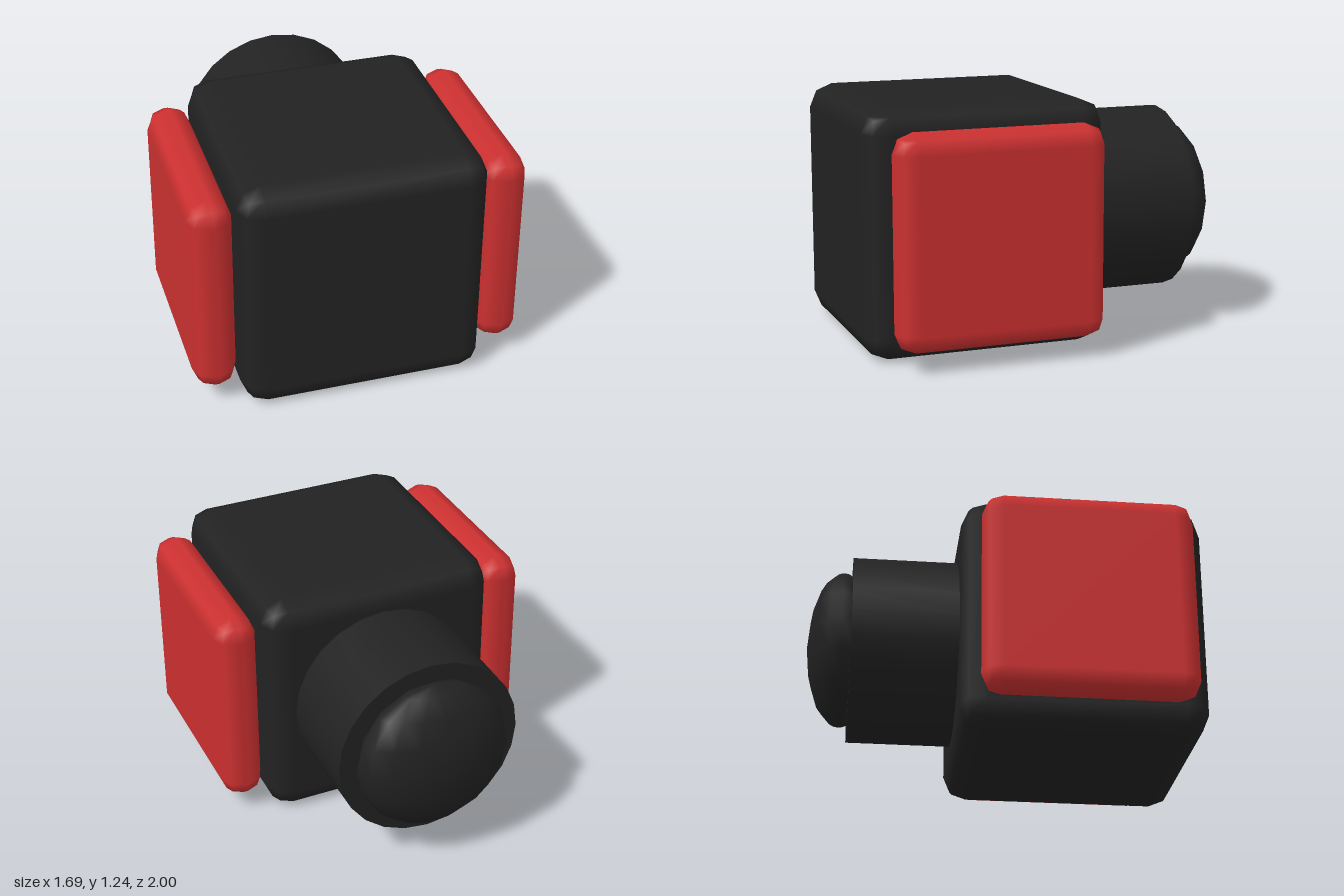
import * as THREE from 'three';
import { RoundedBoxGeometry } from 'three/addons/geometries/RoundedBoxGeometry.js';

const black = new THREE.MeshStandardMaterial({ name: 'black', color: 0x222222 });
const red = new THREE.MeshStandardMaterial({ name: 'red', color: 0xcc3030 });

export function createModel() {
  const model = new THREE.Group();
  model.name = 'hammerHead';

  const add = (name, geometry, material, x, y, z) => {
    const mesh = new THREE.Mesh(geometry, material);
    mesh.name = name;
    mesh.position.set(x, y, z);
    model.add(mesh);
    return mesh;
  };

  // Main cube with softly bevelled edges
  add('body', new RoundedBoxGeometry(1.24, 1.24, 1.24, 1, 0.12), black, 0, 0.62, 0.38);

  // Padded side panels, set just clear of the body
  for (const side of [1, -1]) {
    add(side > 0 ? 'leftPanel' : 'rightPanel',
      new RoundedBoxGeometry(0.222, 1.065, 1.065, 1, 0.1), red, side * 0.735, 0.622, 0.378);
  }

  // Round barrel at the back, sunk a little into the body
  const barrel = new THREE.CylinderGeometry(0.485, 0.485, 0.578, 24);
  barrel.rotateX(Math.PI / 2);
  add('barrel', barrel, black, 0, 0.62, -0.489);

  // Flattened dome on the end of the barrel
  const dome = new THREE.SphereGeometry(1, 16, 8);
  dome.scale(0.405, 0.405, 0.18);
  add('dome', dome, black, 0, 0.62, -0.82);

  return model;
}
